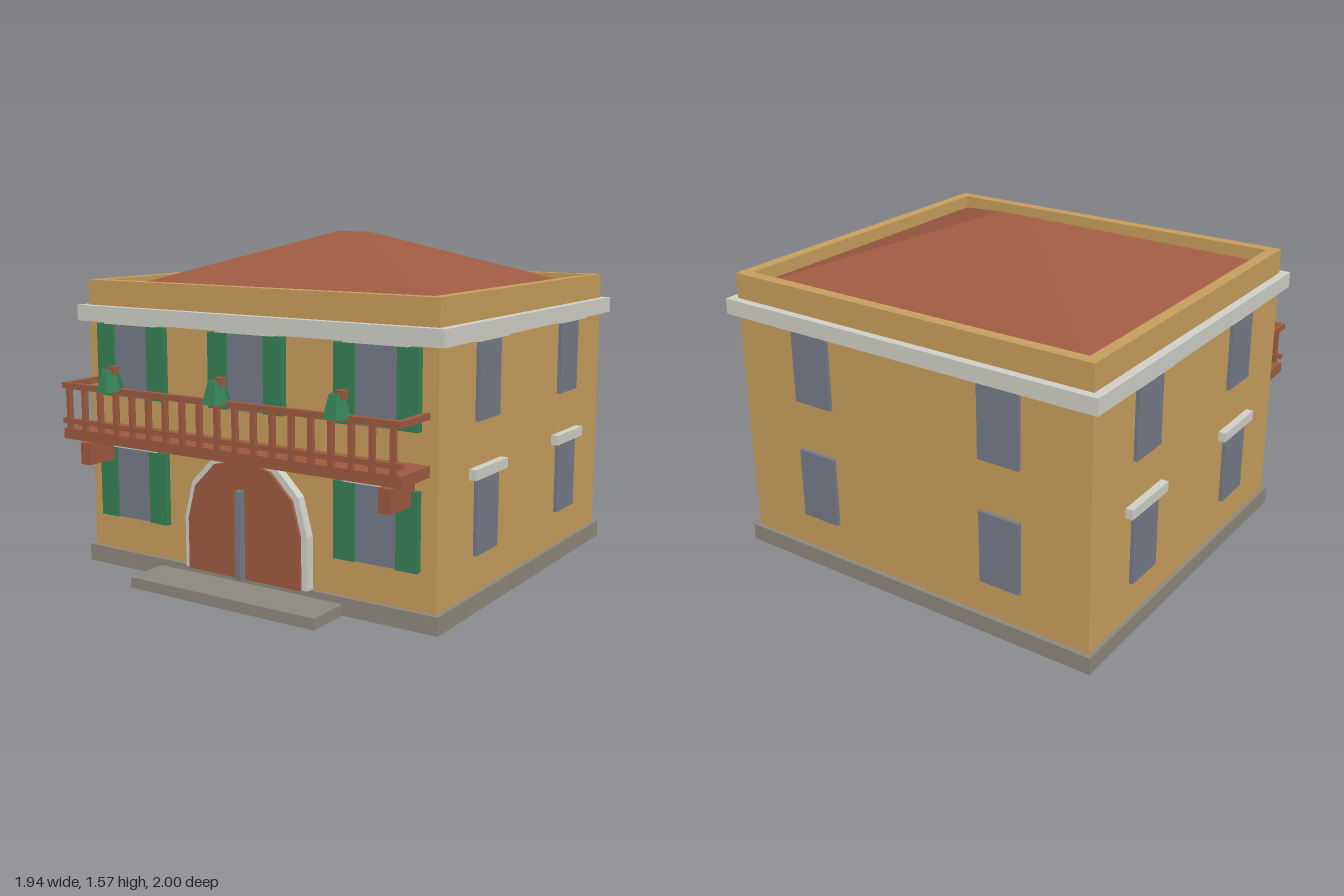
import * as THREE from 'three';

const mat = (name, color) => new THREE.MeshStandardMaterial({ name, color, flatShading: true });

export function createModel() {
  const plaster = mat('ochrePlaster', 0xc79d5c);
  const stone = mat('paleStone', 0xcfcfc7);
  const plinthStone = mat('greyStone', 0x8d887c);
  const wood = mat('terracotta', 0x9d5a40);
  const green = mat('green', 0x357f55);
  const glass = mat('glass', 0x757a88);

  const house = new THREE.Group();
  house.name = 'villa';
  const CZ = -0.12, HX = 0.93, HZ = 0.843;   // centre and half sizes of the walls

  const add = (name, geo, material, parent = house) => {
    const m = new THREE.Mesh(geo, material);
    m.name = name;
    parent.add(m);
    return m;
  };
  // box from its minimum and maximum corners
  const box = (name, material, x0, x1, y0, y1, z0, z1, parent = house) => {
    const m = add(name, new THREE.BoxGeometry(x1 - x0, y1 - y0, z1 - z0), material, parent);
    m.position.set((x0 + x1) / 2, (y0 + y1) / 2, (z0 + z1) / 2);
    return m;
  };
  // box centred on the house in plan
  const storey = (name, material, hx, hz, y0, y1) =>
    box(name, material, -hx, hx, y0, y1, CZ - hz, CZ + hz);

  // main block
  storey('plinth', plinthStone, 0.95, 0.866, 0, 0.08);
  storey('walls', plaster, HX, HZ, 0.08, 1.25);
  storey('cornice', stone, 0.97, 0.88, 1.163, 1.236);
  box('frontStep', plinthStone, -0.497, 0.497, 0, 0.05, 0.74, 0.957);

  // parapet ring
  const rect = (T, hx, hz) => {
    const p = new T();
    p.moveTo(-hx, -hz); p.lineTo(hx, -hz); p.lineTo(hx, hz); p.lineTo(-hx, hz); p.closePath();
    return p;
  };
  const ring = rect(THREE.Shape, HX, HZ);
  ring.holes.push(rect(THREE.Path, 0.877, 0.79));
  const parapet = add('parapet', new THREE.ExtrudeGeometry(ring, { depth: 0.118, bevelEnabled: false }), plaster);
  parapet.rotation.x = -Math.PI / 2;
  parapet.position.set(0, 1.235, CZ);

  // hipped roof: four eave corners (0-3) and two ridge ends (4, 5)
  const roofGeo = new THREE.BufferGeometry();
  roofGeo.setAttribute('position', new THREE.Float32BufferAttribute([
    -0.877, 0, 0.79, 0.877, 0, 0.79, 0.877, 0, -0.79, -0.877, 0, -0.79,
    -0.088, 0.279, 0, 0.088, 0.279, 0], 3));
  roofGeo.setIndex([0, 1, 5, 0, 5, 4, 1, 2, 5, 2, 3, 4, 2, 4, 5, 3, 0, 4]);
  const roofFlat = roofGeo.toNonIndexed();
  roofFlat.computeVertexNormals();
  add('roof', roofFlat, wood).position.set(0, 1.291, CZ);

  // one window facing +z, with optional shutters and lintel
  const addWindow = (facade, x, y, shutters, lintel) => {
    const w = new THREE.Group();
    w.name = 'window';
    w.position.set(x, y, 0);
    facade.add(w);
    box('pane', glass, -0.1, 0.1, 0, 0.335, -0.01, 0.018, w);
    if (shutters) for (const s of [-1, 1])
      box('shutter', green, s * 0.15 - 0.05, s * 0.15 + 0.05, 0, 0.335, -0.01, 0.03, w);
    if (lintel) box('lintel', stone, -0.15, 0.15, 0.336, 0.382, -0.01, 0.035, w);
  };
  const addFacade = (name, angle, distance, lower, upper, shutters, lintel) => {
    const f = new THREE.Group();
    f.name = name;
    f.rotation.y = angle;
    f.position.set(Math.sin(angle) * distance, 0, CZ + Math.cos(angle) * distance);
    house.add(f);
    for (const x of lower) addWindow(f, x, 0.245, shutters, lintel);
    for (const x of upper) addWindow(f, x, 0.82, shutters, lintel);
  };
  const sides = [-0.425, 0.425], backs = [-0.5, 0.5];
  addFacade('frontWindows', 0, HZ, [-0.656, 0.656], [-0.656, 0, 0.656], true, true);
  addFacade('leftWindows', Math.PI / 2, HX, sides, sides, false, true);
  addFacade('rightWindows', -Math.PI / 2, HX, sides, sides, false, true);
  addFacade('backWindows', Math.PI, HZ, backs, backs, false, false);

  // arched entrance: stone surround, door and centre bar
  const arch = (r) => {
    const s = new THREE.Shape();
    s.moveTo(-r, 0.08);
    s.lineTo(r, 0.08);
    for (let i = 0; i <= 6; i++) {
      const a = i * Math.PI / 6;
      s.lineTo(r * Math.cos(a), 0.315 + r * Math.sin(a));
    }
    s.closePath();
    return s;
  };
  const archMesh = (name, r, z1, material) => {
    const m = add(name, new THREE.ExtrudeGeometry(arch(r), { depth: z1 - 0.71, bevelEnabled: false }), material);
    m.position.z = 0.71;
  };
  archMesh('doorSurround', 0.333, 0.765, stone);
  archMesh('door', 0.302, 0.78, wood);
  box('doorBar', glass, -0.013, 0.013, 0.083, 0.482, 0.77, 0.815);

  // balcony: slab, brackets, rails and balusters
  const balcony = new THREE.Group();
  balcony.name = 'balcony';
  house.add(balcony);
  box('balconySlab', wood, -0.893, 0.893, 0.64, 0.688, 0.72, 0.946, balcony);
  box('topRail', wood, -0.893, 0.893, 0.873, 0.9, 0.925, 0.951, balcony);
  box('lowerRail', wood, -0.893, 0.893, 0.713, 0.736, 0.928, 0.95, balcony);
  for (const s of [-1, 1]) {
    box('sideRail', wood, s * 0.88 - 0.013, s * 0.88 + 0.013, 0.873, 0.9, 0.72, 0.926, balcony);
    box('bracket', wood, s * 0.798 - 0.029, s * 0.798 + 0.029, 0.52, 0.622, 0.72, 0.91, balcony);
  }
  for (let i = 0; i < 19; i++) {
    const x = -0.855 + i * 0.095;
    box('baluster', wood, x - 0.011, x + 0.011, 0.688, 0.874, 0.93, 0.952, balcony);
  }

  // hexagonal lanterns on the rail
  for (const x of [-0.6, 0, 0.6]) {
    const lantern = add('lantern', new THREE.CylinderGeometry(0.036, 0.065, 0.095, 6, 1, false, Math.PI / 6), green, balcony);
    lantern.position.set(x, 0.933, 0.943);
    box('lanternCap', wood, x + 0.003, x + 0.039, 0.96, 0.997, 0.925, 0.961, balcony);
  }
  return house;
}
